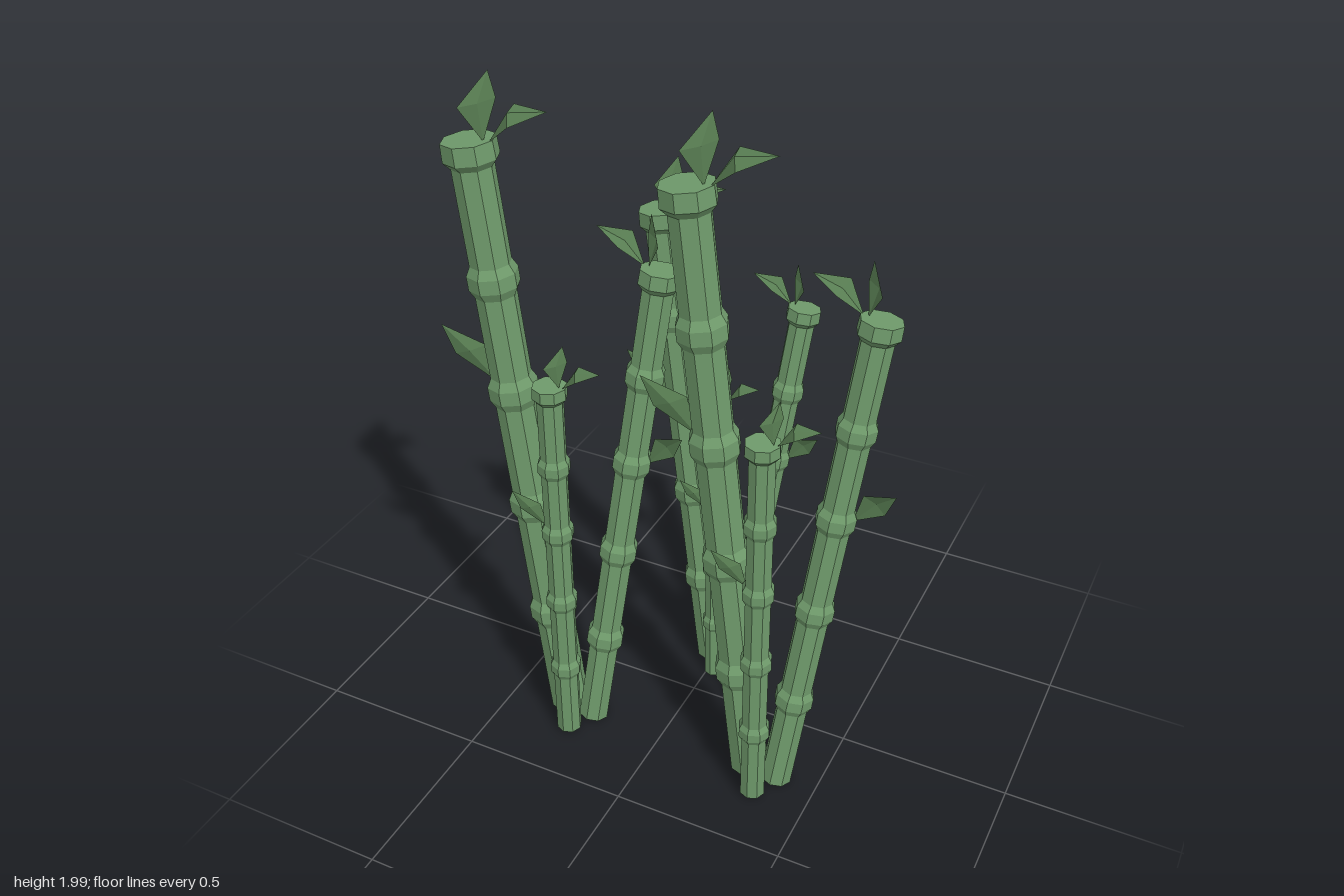
import * as THREE from 'three';

const stalkMaterial = new THREE.MeshStandardMaterial({ color: 0x6f9a6b, flatShading: true });
const leafMaterial = new THREE.MeshStandardMaterial({ color: 0x587d52, flatShading: true, side: THREE.DoubleSide });
const NODES = [0.2, 0.408, 0.608, 0.79];

// Leaves as base, two wide points and tip, relative to the centre of a cap or node
const TOP_LEAVES = [
  [[0.045, 0, 0], [-0.005, 0.09, 0.03], [0.065, 0.105, -0.04], [0.05, 0.175, -0.035]],
  [[0.06, 0, 0], [0.12, 0.1, -0.035], [0.14, 0.065, 0.035], [0.235, 0.11, 0]],
];
const SIDE_LEAF = [[-0.055, 0, -0.01], [-0.17, 0.075, 0.015], [-0.085, 0.11, -0.01], [-0.205, 0.16, 0.02]];

// Eight-sided cane with swollen nodes and a flared cap
function makeCane(length, s) {
  const r = 0.057 * s;
  const profile = [[0, 0], [r, 0]];
  for (const f of NODES) {
    const y = f * length;
    profile.push([r, y - 0.045 * s], [r * 1.23, y - 0.02 * s], [r * 1.23, y + 0.02 * s], [r, y + 0.045 * s]);
  }
  profile.push([r, length - 0.07 * s], [r * 1.31, length - 0.05 * s], [r * 1.28, length], [0, length]);
  const geometry = new THREE.LatheGeometry(profile.map(([x, y]) => new THREE.Vector2(x, y)), 8);
  const mesh = new THREE.Mesh(geometry, stalkMaterial);
  mesh.name = 'cane';
  return mesh;
}

// Kite-shaped leaf folded along its middle
function makeLeaf(points, origin, s, mirror, name) {
  const [base, a, b, tip] = points.map(([x, y, z]) => new THREE.Vector3(x * mirror, y, z).multiplyScalar(s));
  const across = b.clone().sub(a);
  const fold = new THREE.Vector3().crossVectors(across, tip.clone().sub(base)).normalize().multiplyScalar(0.012 * s);
  const mid = a.clone().add(b).multiplyScalar(0.5).add(fold);
  const triangles = [base, mid, a, base, b, mid, a, mid, tip, mid, b, tip];
  const geometry = new THREE.BufferGeometry().setFromPoints(triangles);
  geometry.computeVertexNormals();
  const mesh = new THREE.Mesh(geometry, leafMaterial);
  mesh.position.copy(origin);
  mesh.name = name;
  return mesh;
}

// One stalk: a cane leaning from base to top, two leaves on its cap, one at a node
function makeStalk(name, base, top, s, mirror) {
  const stalk = new THREE.Group();
  stalk.name = name;
  const from = new THREE.Vector3(...base);
  const to = new THREE.Vector3(...top);
  const axis = to.clone().sub(from);
  const cane = makeCane(axis.length(), s);
  cane.position.copy(from);
  cane.quaternion.setFromUnitVectors(new THREE.Vector3(0, 1, 0), axis.clone().normalize());
  stalk.add(cane);
  for (const points of TOP_LEAVES) stalk.add(makeLeaf(points, to, s, mirror, 'topLeaf'));
  const node = from.clone().addScaledVector(axis, NODES[2]);
  stalk.add(makeLeaf(SIDE_LEAF, node, s, mirror, 'sideLeaf'));
  return stalk;
}

// Clump of a tall, a middle and a short stalk
function makeClump(name, x, z, scale) {
  const clump = new THREE.Group();
  clump.name = name;
  clump.add(
    makeStalk('tallStalk', [-0.318, 0.012, 0.22], [-0.52, 1.822, 0.22], 1, 1),
    makeStalk('middleStalk', [-0.228, 0.012, 0.235], [-0.072, 1.478, 0.048], 0.8, -1),
    makeStalk('shortStalk', [-0.268, 0.012, 0.314], [-0.267, 1.22, 0.314], 0.65, 1),
  );
  clump.position.set(x, 0, z);
  clump.scale.setScalar(scale);
  return clump;
}

export function createModel() {
  const model = new THREE.Group();
  model.name = 'bambooGrove';
  model.add(
    makeClump('rightClump', 0, 0, 1),
    makeClump('leftClump', 0.607, 0, 1),
    makeClump('backClump', 0.247, -0.365, 0.842),
  );
  return model;
}
